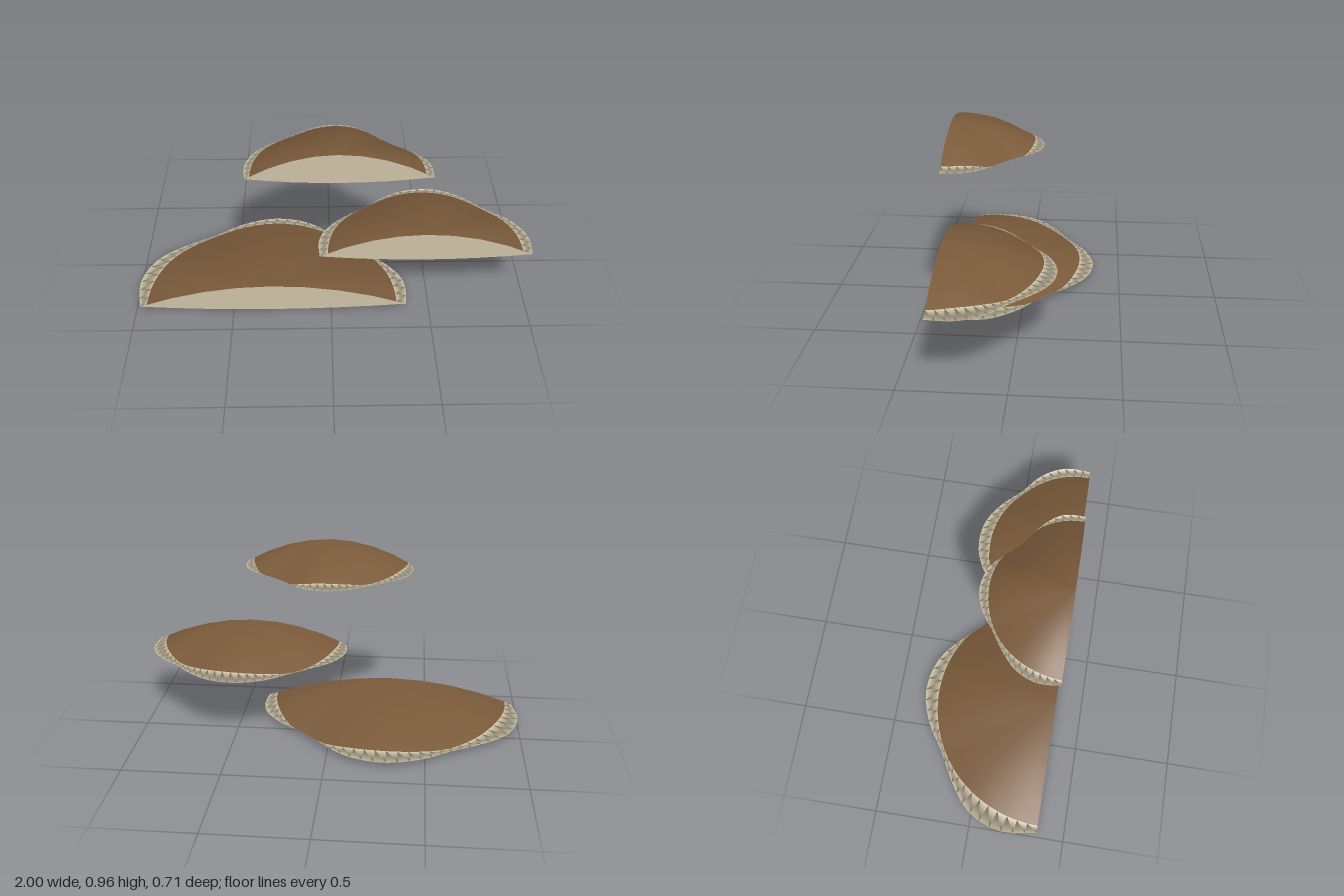
import * as THREE from 'three';

const SEGMENTS = 36;
const BACK = 0.357; // z of the flat cut face

const brown = new THREE.MeshStandardMaterial({ color: 0x7a5a3a });
brown.name = 'brown cap';
const cream = new THREE.MeshStandardMaterial({ color: 0xcfc4a8 });
cream.name = 'cream flesh';

// Each shelf: centre x, base y, radius of the brown area, rim radii every 15 degrees from +x round to -x
const SHELVES = [
  { name: 'lowerShelf', x: -0.305, y: 0, band: 0.64,
    radii: [0.69, 0.71, 0.67, 0.625, 0.65, 0.7, 0.715, 0.69, 0.658, 0.685, 0.728, 0.722, 0.675] },
  { name: 'middleShelf', x: 0.465, y: 0.326, band: 0.482,
    radii: [0.53, 0.55, 0.535, 0.502, 0.521, 0.546, 0.546, 0.522, 0.488, 0.49, 0.52, 0.54, 0.522] },
  { name: 'upperShelf', x: 0.03, y: 0.8, band: 0.41,
    radii: [0.447, 0.452, 0.418, 0.386, 0.395, 0.437, 0.457, 0.444, 0.42, 0.428, 0.45, 0.453, 0.432] },
];

const RIM = 0.027;
const DOME = 0.13;
const domeY = (t) => RIM + DOME * (1 - t * t);
const bellyY = (t) => RIM * t * t;

// Rows of [fraction of rim radius, height] from the top centre over the rim to the bottom centre
function profile(radius, band) {
  const split = THREE.MathUtils.clamp(band / radius, 0.8, 0.999);
  const splitY = THREE.MathUtils.mapLinear(split, 0.75, 1, domeY(0.75), RIM);
  return [
    [0, domeY(0)], [0.25, domeY(0.25)], [0.5, domeY(0.5)], [0.75, domeY(0.75)],
    [split, splitY], [1, RIM],
    [0.75, bellyY(0.75)], [0.5, bellyY(0.5)], [0.25, bellyY(0.25)], [0, 0],
  ];
}

// Half dome with a wavy rim; the first four strips are brown, the rest cream
function shelfBody({ radii, band }) {
  const rim = new THREE.SplineCurve(radii.map((r, i) => new THREE.Vector2(i, r)));
  const columns = [];
  for (let j = 0; j <= SEGMENTS; j++) {
    const radius = rim.getPoint(j / SEGMENTS).y;
    columns.push({ radius, angle: (Math.PI * j) / SEGMENTS, rows: profile(radius, band) });
  }
  const rowCount = columns[0].rows.length;
  const positions = [];
  const index = [];
  for (let i = 0; i < rowCount; i++) {
    for (const { radius, angle, rows } of columns) {
      const r = radius * rows[i][0];
      positions.push(r * Math.cos(angle), rows[i][1], -r * Math.sin(angle));
    }
  }
  const stride = SEGMENTS + 1;
  for (let i = 0; i < rowCount - 1; i++) {
    for (let j = 0; j < SEGMENTS; j++) {
      const a = i * stride + j;
      const b = a + stride;
      if (i < rowCount - 2) index.push(a, b, b + 1);
      if (i > 0) index.push(a, b + 1, a + 1);
    }
  }
  const geometry = new THREE.BufferGeometry();
  geometry.setAttribute('position', new THREE.Float32BufferAttribute(positions, 3));
  geometry.setIndex(index);
  geometry.computeVertexNormals();
  const brownCount = SEGMENTS * 3 * 7; // one fan strip and three full strips
  geometry.addGroup(0, brownCount, 0);
  geometry.addGroup(brownCount, index.length - brownCount, 1);
  return new THREE.Mesh(geometry, [brown, cream]);
}

// Flat cut face that closes the half dome
function cutFace({ radii, band }) {
  const right = radii[0];
  const left = radii[radii.length - 1];
  const points = [
    ...profile(right, band).map(([t, y]) => new THREE.Vector2(t * right, y)),
    ...profile(left, band).slice(1, -1).reverse().map(([t, y]) => new THREE.Vector2(-t * left, y)),
  ];
  return new THREE.Mesh(new THREE.ShapeGeometry(new THREE.Shape(points)), cream);
}

export function createModel() {
  const model = new THREE.Group();
  model.name = 'shelfFungi';
  for (const spec of SHELVES) {
    const shelf = new THREE.Group();
    shelf.name = spec.name;
    const body = shelfBody(spec);
    body.name = 'cap';
    const face = cutFace(spec);
    face.name = 'cutFace';
    shelf.add(body, face);
    shelf.position.set(spec.x, spec.y, BACK);
    model.add(shelf);
  }
  return model;
}
